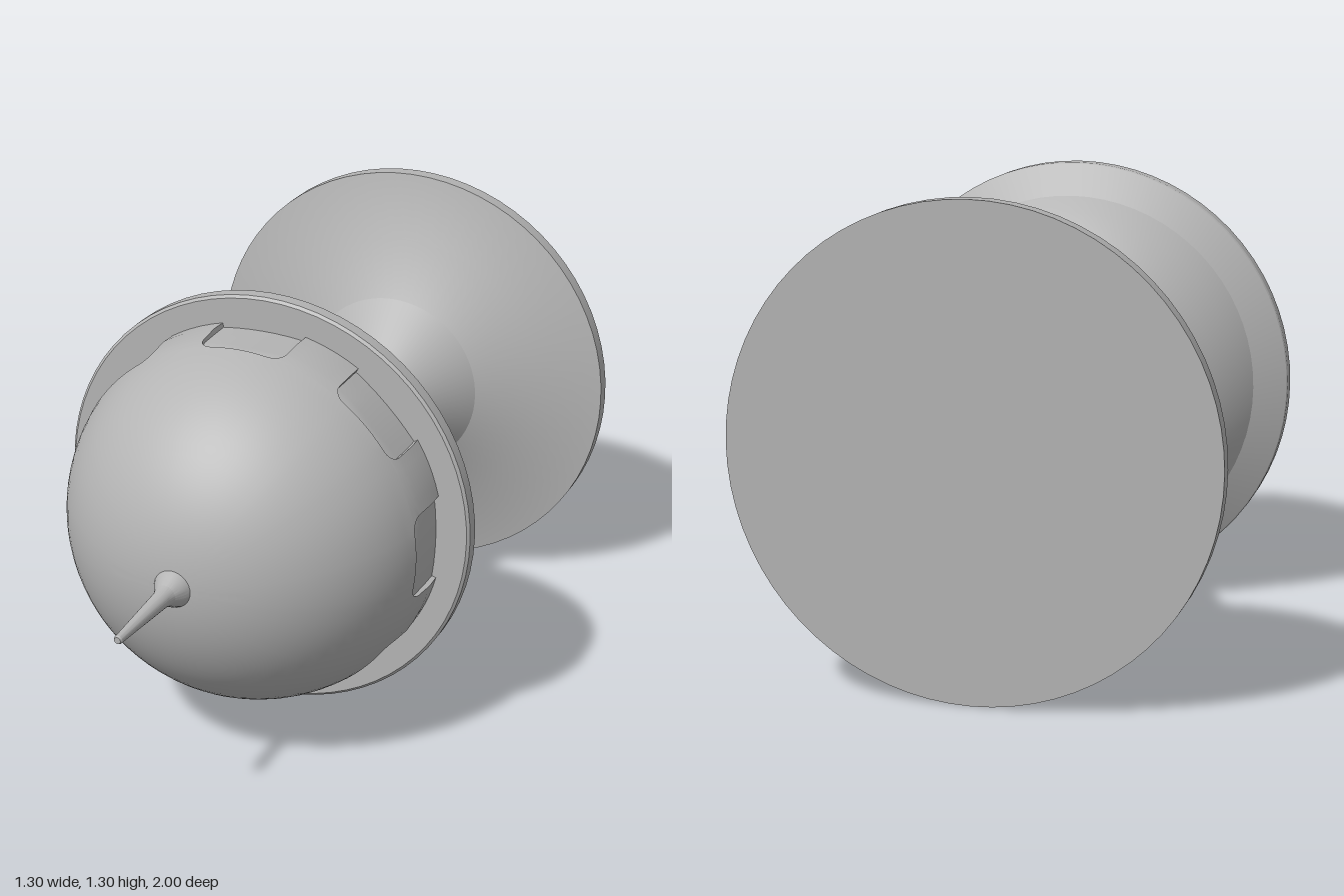
import * as THREE from 'three';
import { toCreasedNormals } from 'three/addons/utils/BufferGeometryUtils.js';

const AXIS_Y = 0.648;
const DOME_R = 0.543, DOME_Z = 0.155;
const WINDOWS = 8, WINDOW_HALF = 0.235, WINDOW_TOP = 0.28;

// Turned part around the z axis; profile is [radius, z] from back to front
function turned(name, profile, material, segments = 72, crease = 0.3) {
  const points = profile.map(([r, z]) => new THREE.Vector2(r, z));
  const geometry = new THREE.LatheGeometry(points, segments).rotateX(Math.PI / 2);
  const mesh = new THREE.Mesh(toCreasedNormals(geometry, crease), material);
  mesh.name = name;
  return mesh;
}

// Dome whose back edge is recessed by a ring of round-cornered windows
function domeGeometry() {
  const sphereRadius = z => Math.sqrt(Math.max(0, DOME_R ** 2 - (z - DOME_Z) ** 2));

  // Rows: z, half angle of the window and whether the recess is open
  const rows = [];
  for (const z of [0.1, 0.17, 0.24]) rows.push({ z, half: WINDOW_HALF, open: true });
  for (let i = 1; i <= 5; i++) {
    const a = (i / 5) * Math.PI / 2;
    rows.push({ z: 0.24 + 0.04 * Math.sin(a), half: WINDOW_HALF - 0.075 * (1 - Math.cos(a)), open: true });
  }
  const last = rows[rows.length - 1].half;
  const start = Math.asin((WINDOW_TOP - DOME_Z) / DOME_R);
  for (let i = 0; i <= 20; i++) {
    const a = start + (Math.PI / 2 - start) * i / 20;
    rows.push({ z: DOME_Z + DOME_R * Math.sin(a), half: last, open: false });
  }

  // Columns: window floor, then the rib up to the next window
  const columns = [];
  const step = Math.PI * 2 / WINDOWS;
  for (let w = 0; w < WINDOWS; w++) {
    for (let i = 0; i <= 6; i++) columns.push({ w, t: i / 3 - 1, floor: true });
    for (let i = 0; i <= 5; i++) columns.push({ w, s: i / 5, floor: false });
  }
  const point = (row, col) => {
    const angle = col.w * step + (col.floor ? col.t * row.half : row.half + col.s * (step - 2 * row.half));
    let r = sphereRadius(row.z);
    if (row.open && col.floor) r = Math.min(0.522 + 0.006 * col.t ** 2, r - 0.01);
    return new THREE.Vector3(r * Math.cos(angle), r * Math.sin(angle), row.z);
  };

  const positions = [];
  const triangle = new THREE.Triangle();
  const add = (a, b, c) => {
    if (triangle.set(a, b, c).getArea() > 1e-8) for (const p of [a, b, c]) positions.push(p.x, p.y, p.z);
  };
  for (let j = 0; j < rows.length - 1; j++) {
    for (let i = 0; i < columns.length; i++) {
      const next = columns[(i + 1) % columns.length];
      const a = point(rows[j], columns[i]), b = point(rows[j], next);
      const c = point(rows[j + 1], next), d = point(rows[j + 1], columns[i]);
      add(a, b, c);
      add(a, c, d);
    }
  }
  const geometry = new THREE.BufferGeometry();
  geometry.setAttribute('position', new THREE.Float32BufferAttribute(positions, 3));
  return toCreasedNormals(geometry, 0.5);
}

export function createModel() {
  const model = new THREE.Group();
  model.name = 'wallLamp';
  const grey = new THREE.MeshStandardMaterial({ color: 0xb4b4b4 });
  grey.name = 'plain grey';

  // Flared mounting plate
  model.add(turned('mountingPlate', [
    [0, -1], [0.648, -1], [0.648, -0.955], [0.45, -0.913], [0.28, -0.828], [0.157, -0.69],
  ], grey));

  // Stem with a raised collar
  model.add(turned('stem', [
    [0.157, -0.69], [0.157, -0.635], [0.19, -0.605], [0.207, -0.54], [0.188, -0.475],
    [0.14, -0.405], [0.158, -0.265],
  ], grey));

  // Stepped bowl behind the rim
  model.add(turned('bowl', [
    [0.158, -0.265], [0.225, -0.195], [0.37, -0.143], [0.44, -0.085],
    [0.49, -0.035], [0.53, 0.02], [0.617, 0.07],
  ], grey));

  // Flat rim around the dome
  model.add(turned('rim', [
    [0.617, 0.07], [0.62, 0.075], [0.62, 0.113], [0.612, 0.12], [0.48, 0.12],
  ], grey));

  const dome = new THREE.Mesh(domeGeometry(), grey);
  dome.name = 'dome';
  model.add(dome);

  // Flared spike on the dome's tip
  model.add(turned('spike', [
    [0.056, 0.69], [0.045, 0.713], [0.031, 0.737], [0.025, 0.76], [0.012, 0.995], [0.009, 1], [0, 1],
  ], grey, 32));

  for (const part of model.children) part.position.y = AXIS_Y;
  return model;
}
